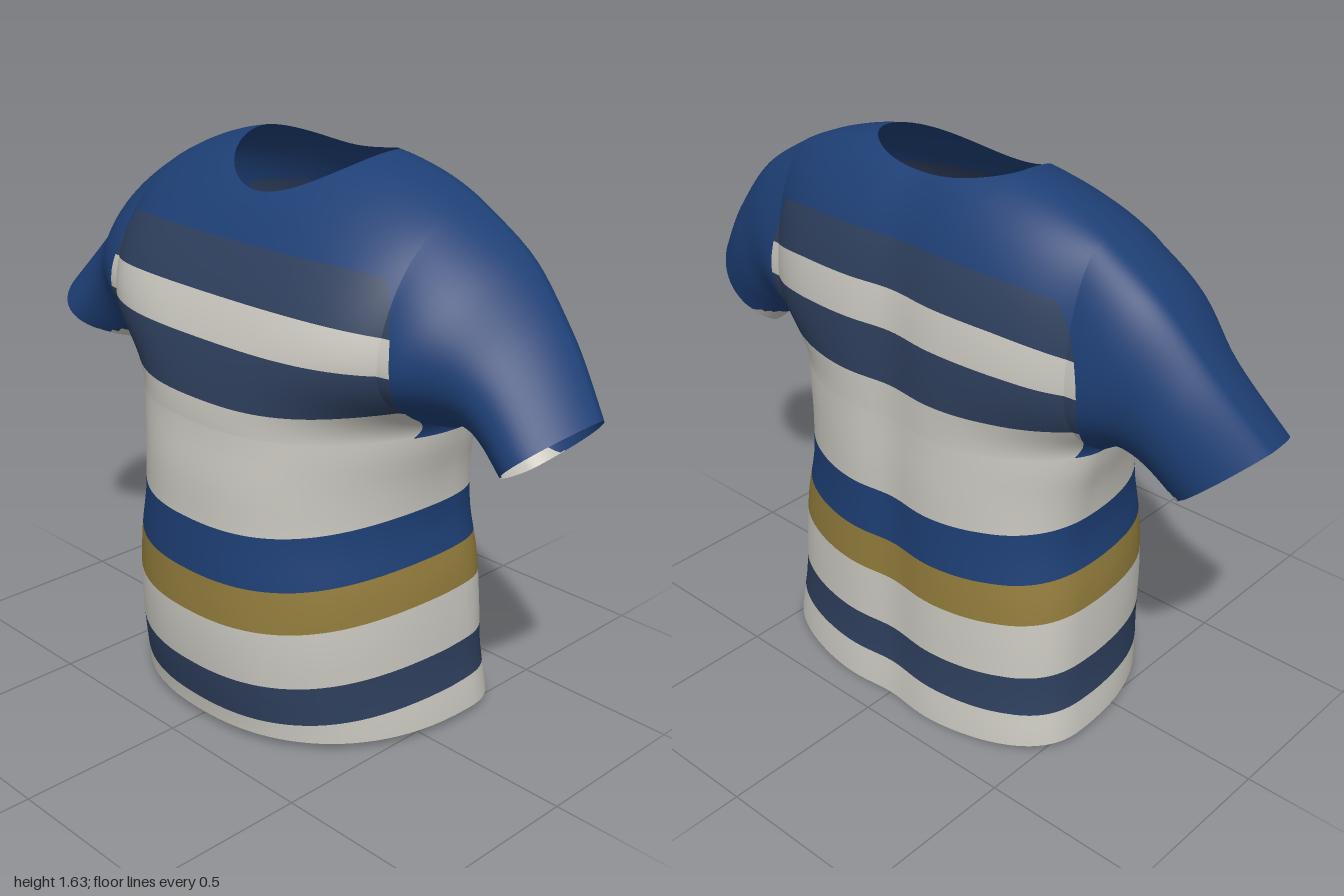
import * as THREE from 'three';
import { mergeVertices } from 'three/addons/utils/BufferGeometryUtils.js';

const NB = 36, NS = 18, NL = 26, NU = 34;   // body columns per side, sleeve columns, lower and upper rows
const ARMPIT = 0.93, ARM_X = 0.53, NECK_X = 0.25;
const { lerp, clamp, smoothstep } = THREE.MathUtils;

// Smooth curve through evenly spaced values
const track = (values) => {
  const c = new THREE.SplineCurve(values.map((v, i) => new THREE.Vector2(v, i)));
  return (t) => c.getPoint(clamp(t, 0, 1)).x;
};

// Torso outline from hem to armpit
const halfWidth = track([0.545, 0.525, 0.52, 0.51, 0.485, 0.495, ARM_X]);
const frontDepth = track([0.40, 0.425, 0.435, 0.43, 0.42, 0.413, 0.395]);
const backDepth = track([0.425, 0.41, 0.405, 0.40, 0.395, 0.395, 0.39]);

// Sleeve outline from armhole to cuff
const ridgeX = track([ARM_X, 0.70, 0.855, 1.0]);
const ridgeY = track([1.54, 1.43, 1.265, 1.09]);
const ridgeZ = track([-0.13, -0.13, -0.11, -0.06]);
const underX = track([ARM_X, 0.60, 0.69, 0.77]);
const underY = track([ARMPIT, 0.965, 0.94, 0.88]);
const sleeveFront = track([0.21, 0.165, 0.13, 0.12]);
const sleeveBack = track([-0.27, -0.24, -0.23, -0.21]);

// Torso depth: u runs from the centre (0) to the side (1), v from hem to armpit,
// open from 0 (closed side seam) to 1 (side fully opened into the armhole)
function torsoZ(u, v, open, front) {
  const seam = lerp(-0.17, -0.1, v), p = front ? 2.3 : 2.5;
  const round = Math.pow(Math.max(0, 1 - Math.pow(u * (1 - open), p)), 1 / p);
  const spine = 0.02 * Math.exp(-Math.pow(u / 0.2, 2));
  const depth = front ? frontDepth(v) : spine - backDepth(v);
  return lerp(seam, lerp(depth, front ? 0.26 : -0.29, Math.pow(u * v, 4)), round);
}

// Exponents of the curve from armpit level over to the shoulder ridge
const fallCurve = (u, front) => (front
  ? [lerp(1.85, 2.6, Math.pow(u, 4)), lerp(0.57, 0.5, Math.pow(u, 4))] : [3, 0.5]);

// Depth of chest and back; h is 0 at the armpit, 1 at the ridge
function yokeZ(u, h, front) {
  const [a, e] = fallCurve(u, front);
  const fall = Math.pow(Math.max(0, 1 - Math.pow(h, a)), e);
  return lerp(-0.1 - 0.03 * u * u, torsoZ(u, 1, 1 - Math.exp(-Math.pow(h / 0.35, 2)), front), fall);
}

// Height fraction at which the round neck opening cuts the yoke
function neckHeight(u, front) {
  const f = Math.sqrt(Math.max(0, 1 - Math.pow(u * ARM_X / NECK_X, 2)));
  const [a, e] = fallCurve(u, front);
  const ratio = front ? 0.25 * f / 0.495 : 0.13 * f / 0.28;
  return Math.pow(1 - Math.pow(ratio, 1 / e), 1 / a);
}

// Chest, back and shoulders
function yokePoint(u, s, front) {
  const ridge = 1.655 - 0.115 * Math.pow(u, 2.4), h = s * neckHeight(u, front);
  return [u * ARM_X, lerp(ARMPIT, ridge, h), yokeZ(u, h, front)];
}

// Half ring of the sleeve: s runs from the underarm to the shoulder ridge
function sleevePoint(t, s, front) {
  const bulge = (front ? sleeveFront(t) : sleeveBack(t)) + 0.11;
  const ring = lerp(-0.1, ridgeZ(t), s) + bulge * Math.pow(Math.max(0, Math.sin(Math.PI * s)), 0.6);
  return [lerp(underX(t), ridgeX(t), s), lerp(underY(t), ridgeY(t), s),
    lerp(yokeZ(1, s, front), ring, smoothstep(t, 0, 0.6))];
}

function shirtPoint(c, r, front) {
  const a = Math.abs(c), half = NB / 2, u0 = NECK_X / ARM_X;
  const u = a <= half ? u0 * Math.sin(a / half * Math.PI / 2)
    : u0 + (1 - u0) * Math.sin(Math.min(1, (a - half) / half) * Math.PI / 2);
  let p;
  if (r < 0) {
    const v = 1 + r / NL;
    const hem = (front ? 0.03 : lerp(0.005, 0.03, u * u)) * (1 - v);
    p = [u * halfWidth(v), v * ARMPIT + hem, torsoZ(u, v, 0, front)];
  } else {
    const s = (1 - Math.cos(Math.PI * r / NU)) / 2;
    p = a > NB ? sleevePoint((a - NB) / NS, s, front) : yokePoint(u, s, front);
  }
  return [c < 0 ? -p[0] : p[0], p[1], p[2]];
}

// Front and back sheets welded into one smooth garment
function garmentGeometry() {
  const pos = [];
  for (const front of [true, false]) {
    for (let c = -NB - NS; c < NB + NS; c++) {
      const sleeve = c < -NB || c >= NB;
      for (let r = sleeve ? 0 : -NL; r < NU; r++) {
        const A = shirtPoint(c, r, front), B = shirtPoint(c + 1, r, front);
        const C = shirtPoint(c + 1, r + 1, front), D = shirtPoint(c, r + 1, front);
        pos.push(...(front ? [A, B, C, A, C, D] : [A, C, B, A, D, C]).flat());
      }
    }
  }
  const g = new THREE.BufferGeometry();
  g.setAttribute('position', new THREE.Float32BufferAttribute(pos, 3));
  const welded = mergeVertices(g, 1e-4);
  welded.computeVertexNormals();
  return welded.toNonIndexed();
}

// Stripe height, following the slight rise towards the sides and back
function stripeHeight(x, y, z) {
  const side = Math.min(1, Math.pow(x / ARM_X, 4));
  const back = 0.035 * clamp((-0.1 - z) / 0.25, 0, 1);
  const rise = Math.max(-0.02, (0.035 + 0.07 * y) * (1 - Math.pow(y / 1.15, 4)));
  return y - rise * side - back * (1 - 0.7 * side);
}

// Negative inside the striped panel, positive on the sleeves
const panelEdge = (x, y) => (y < ARMPIT + 0.001 ? -0.05
  : Math.abs(x) - 0.565 + 0.09 * Math.pow((y - 1.16) / 0.27, 2));

// Cut a polygon where the value at index k crosses a level; returns [below, above]
function cut(poly, k, level) {
  const low = [], high = [];
  poly.forEach((a, i) => {
    const b = poly[(i + 1) % poly.length], da = a[k] - level, db = b[k] - level;
    (da <= 0 ? low : high).push(a);
    if ((da <= 0) !== (db <= 0)) {
      const m = a.map((v, j) => lerp(v, b[j], da / (da - db)));
      low.push(m);
      high.push(m);
    }
  });
  return [low, high];
}

export function createModel() {
  const paint = (name, color) => {
    const m = new THREE.MeshStandardMaterial({ color, side: THREE.DoubleSide });
    m.name = name;
    return m;
  };
  const blue = paint('royal blue', 0x1e3f75), navy = paint('navy', 0x2e3f5d);
  const white = paint('off white', 0xc9c7bf), gold = paint('mustard', 0x927c3c);

  // Stripes from hem to chest, each with its upper limit
  const bands = [
    ['hemBand', white, 0.08], ['lowerNavyStripe', navy, 0.2], ['lowerWhiteStripe', white, 0.37],
    ['mustardStripe', gold, 0.495], ['blueWaistStripe', blue, 0.65], ['whiteMidriff', white, 1.0],
    ['chestNavyStripe', navy, 1.16], ['chestWhiteStripe', white, 1.275], ['upperNavyStripe', navy, 1.41],
    ['yokeAndSleeves', blue, Infinity],
  ].map(([name, material, top]) => ({ name, material, top, pos: [], nor: [] }));
  const yoke = bands[bands.length - 1];

  const emit = (band, poly) => {
    for (let i = 2; i < poly.length; i++) {
      for (const v of [poly[0], poly[i - 1], poly[i]]) {
        band.pos.push(v[0], v[1], v[2]);
        band.nor.push(v[3], v[4], v[5]);
      }
    }
  };

  // Cut every triangle along the panel edge and the stripe limits
  const g = garmentGeometry(), P = g.attributes.position, N = g.attributes.normal;
  for (let i = 0; i < P.count; i += 3) {
    const tri = [i, i + 1, i + 2].map((j) => {
      const x = P.getX(j), y = P.getY(j), z = P.getZ(j);
      return [x, y, z, N.getX(j), N.getY(j), N.getZ(j), stripeHeight(x, y, z), panelEdge(x, y)];
    });
    let [rest, outside] = cut(tri, 7, 0);
    emit(yoke, outside);
    for (const band of bands) {
      if (rest.length < 3) break;
      if (band === yoke) { emit(yoke, rest); break; }
      const [below, above] = cut(rest, 6, band.top);
      emit(band, below);
      rest = above;
    }
  }

  const shirt = new THREE.Group();
  shirt.name = 'shirt';
  for (const b of bands) {
    const geo = new THREE.BufferGeometry();
    geo.setAttribute('position', new THREE.Float32BufferAttribute(b.pos, 3));
    geo.setAttribute('normal', new THREE.Float32BufferAttribute(b.nor, 3));
    const mesh = new THREE.Mesh(geo, b.material);
    mesh.name = b.name;
    shirt.add(mesh);
  }
  return shirt;
}
